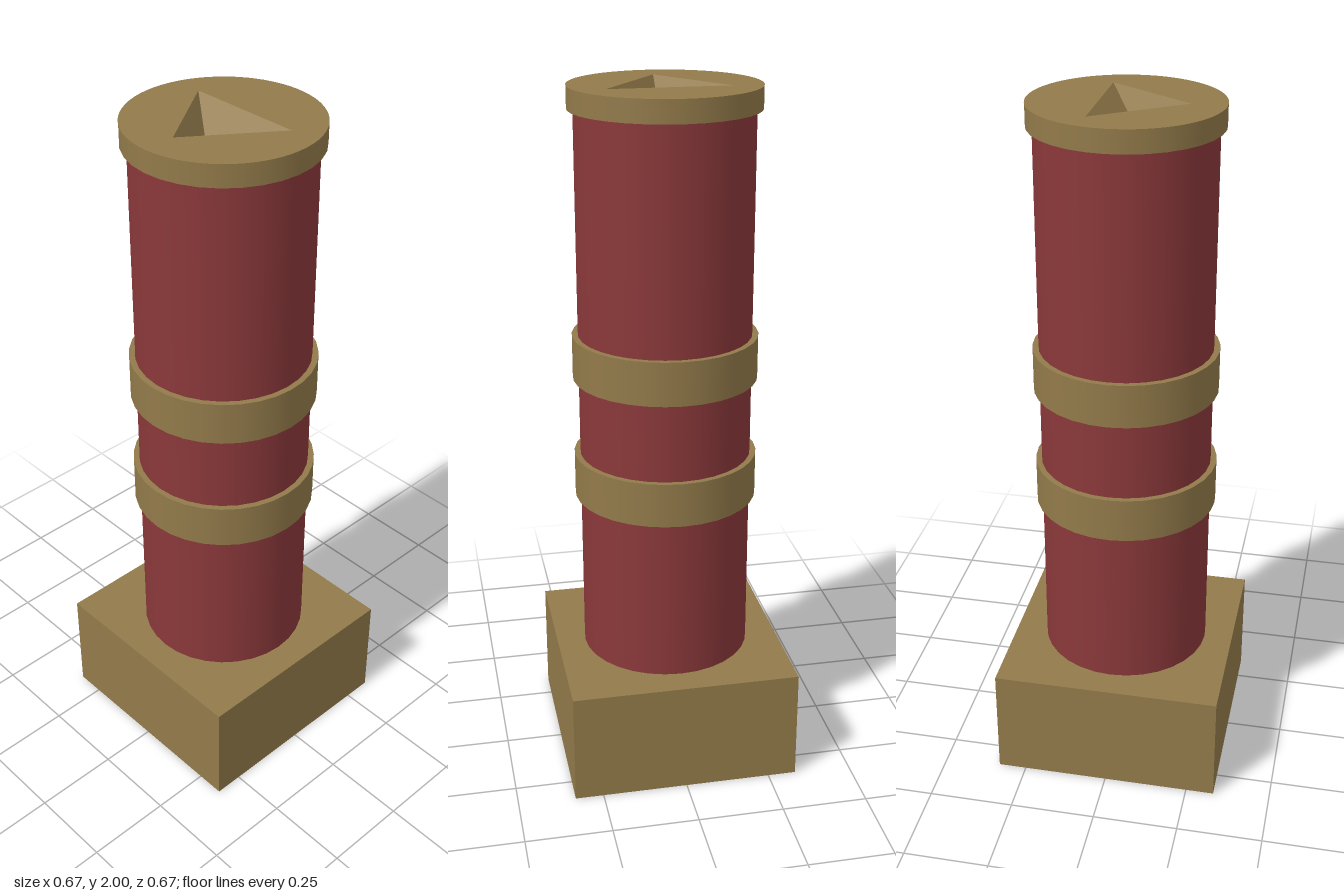
import * as THREE from 'three';

const SEGMENTS = 32;
const SHAFT_RADIUS = 0.248;
const BAND_RADIUS = 0.265;
const BASE_HEIGHT = 0.333;
const CAP_BOTTOM = 1.937;
const TOP = 2;

export function createModel() {
  const model = new THREE.Group();
  const brass = new THREE.MeshStandardMaterial({ color: 0x927a4a });
  brass.name = 'brass';
  const red = new THREE.MeshStandardMaterial({ color: 0x8a383a });
  red.name = 'darkRed';

  const add = (parent, name, geometry, material, y = 0) => {
    const mesh = new THREE.Mesh(geometry, material);
    mesh.name = name;
    mesh.position.y = y;
    parent.add(mesh);
    return mesh;
  };
  const cylinder = (radius, height, open) =>
    new THREE.CylinderGeometry(radius, radius, height, SEGMENTS, 1, open);

  // Square base
  add(model, 'base', new THREE.BoxGeometry(0.666, BASE_HEIGHT, 0.666), brass, BASE_HEIGHT / 2);

  // Round shaft, open at both ends where the base and cap cover it
  const shaftHeight = CAP_BOTTOM - BASE_HEIGHT;
  add(model, 'shaft', cylinder(SHAFT_RADIUS, shaftHeight, true), red, BASE_HEIGHT + shaftHeight / 2);

  // Two raised bands
  [['lowerBand', 0.82, 0.95], ['upperBand', 1.18, 1.307]].forEach(([name, bottom, top]) =>
    add(model, name, cylinder(BAND_RADIUS, top - bottom, false), brass, (bottom + top) / 2));

  // Cap: rim wall, underside ring and a top face with a triangular opening
  const cap = new THREE.Group();
  cap.name = 'cap';
  model.add(cap);
  add(cap, 'capRim', cylinder(BAND_RADIUS, TOP - CAP_BOTTOM, true), brass, (TOP + CAP_BOTTOM) / 2);
  const underside = new THREE.RingGeometry(SHAFT_RADIUS - 0.01, BAND_RADIUS, SEGMENTS);
  add(cap, 'capUnderside', underside.rotateX(Math.PI / 2), brass, CAP_BOTTOM);

  const corners = [[-0.17, 0], [0.07, 0.17], [0.07, -0.17]];
  const face = new THREE.Shape().absarc(0, 0, BAND_RADIUS, 0, Math.PI * 2, false);
  face.holes.push(new THREE.Path(corners.map(([x, z]) => new THREE.Vector2(x, -z))));
  add(cap, 'capTop', new THREE.ShapeGeometry(face, SEGMENTS).rotateX(-Math.PI / 2), brass, TOP);

  // Recess: three sloping walls meeting at a point below the opening
  const tip = [-0.05, -0.12, 0];
  const points = corners.flatMap(([x, z], i) => {
    const [nextX, nextZ] = corners[(i + 1) % 3];
    return [x, 0, z, nextX, 0, nextZ, ...tip];
  });
  const recess = new THREE.BufferGeometry();
  recess.setAttribute('position', new THREE.Float32BufferAttribute(points, 3));
  recess.computeVertexNormals();
  add(cap, 'triangularRecess', recess, brass, TOP);

  return model;
}
